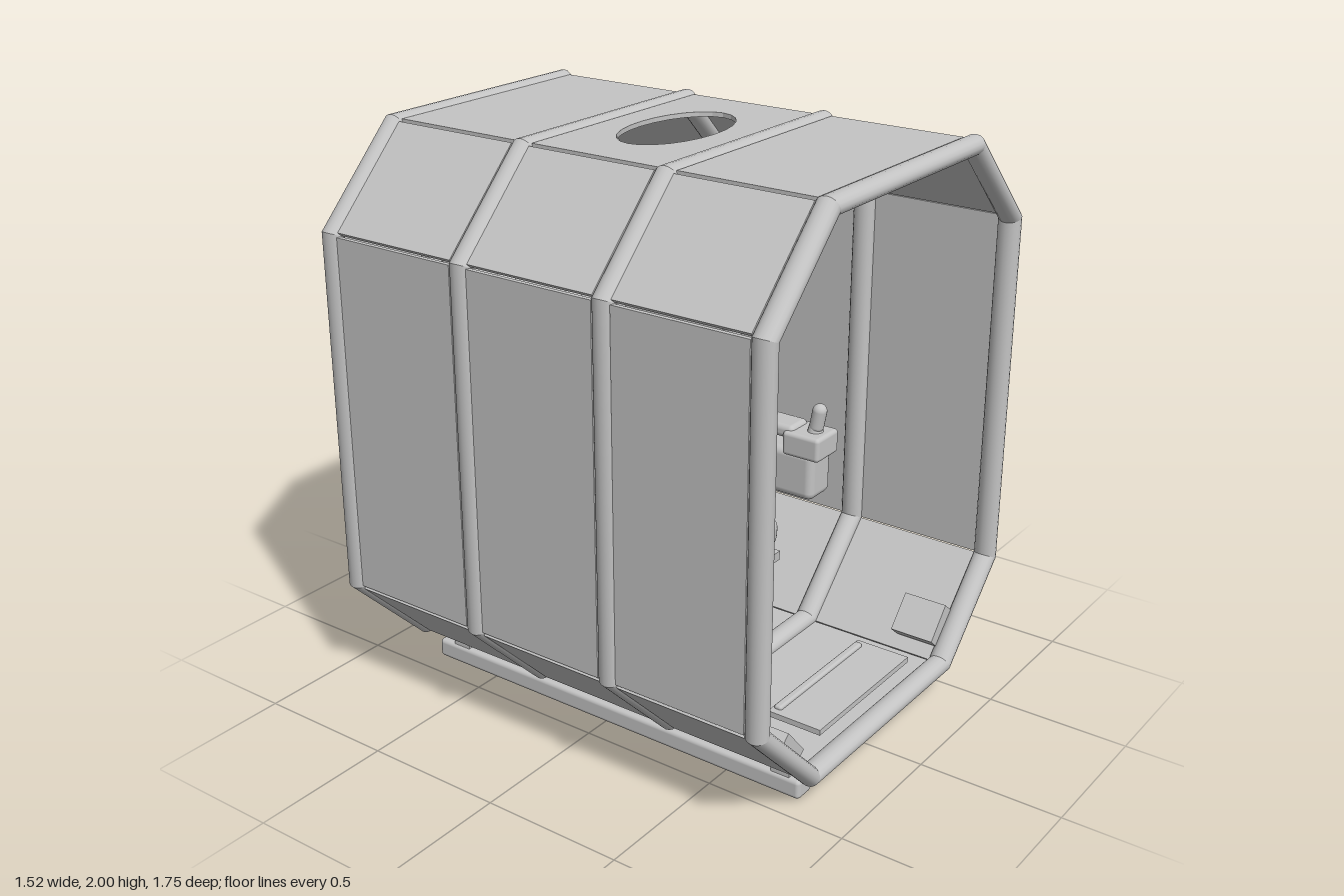
import * as THREE from 'three';
import { mergeGeometries } from 'three/addons/utils/BufferGeometryUtils.js';
import { RoundedBoxGeometry } from 'three/addons/geometries/RoundedBoxGeometry.js';

const paint = new THREE.MeshStandardMaterial({ color: 0xc4c4c4, side: THREE.DoubleSide });
paint.name = 'pale grey';

const ringZ = [-0.82, -0.27, 0.28, 0.83];
const V = (p) => new THREE.Vector3(...p);

// Octagonal cabin section, clockwise from the front, moved inwards by d
function octagon(d) {
  const k = d * Math.tan(Math.PI / 8);
  const right = [[0.44 - k, 2 - d], [0.76 - d, 1.68 - k], [0.76 - d, 0.41 + k], [0.44 - k, 0.09 + d]];
  return [...right, ...right.map(([x, y]) => [-x, y]).reverse()];
}

// Padded tube frame with mitred corners
function ringGeometry() {
  const n = 16, sections = [];
  for (let j = 0; j < n; j++) {
    const a = (j / n) * Math.PI * 2;
    const z = 0.04 * Math.sin(a);
    sections.push(octagon(0.032 - 0.032 * Math.cos(a)).map(([x, y]) => [x, y, z]));
  }
  const edges = [];
  for (let e = 0; e < 8; e++) {
    const pos = [], index = [];
    for (let j = 0; j < n; j++) {
      pos.push(...sections[j][e], ...sections[j][(e + 1) % 8]);
      const a = 2 * j, b = 2 * ((j + 1) % n);
      index.push(a, b, a + 1, b, b + 1, a + 1);
    }
    const g = new THREE.BufferGeometry();
    g.setAttribute('position', new THREE.Float32BufferAttribute(pos, 3));
    g.setIndex(index);
    g.computeVertexNormals();
    edges.push(g);
  }
  return mergeGeometries(edges);
}

// Curved slab: [z, y] path thickened by t and extruded across x
function slabGeometry(path, t, width) {
  const curve = new THREE.SplineCurve(path.map((p) => new THREE.Vector2(...p)));
  const front = [], back = [];
  for (let i = 0; i <= 24; i++) {
    const p = curve.getPoint(i / 24), d = curve.getTangent(i / 24);
    front.push(new THREE.Vector2(p.x + d.y * t / 2, p.y - d.x * t / 2));
    back.unshift(new THREE.Vector2(p.x - d.y * t / 2, p.y + d.x * t / 2));
  }
  const g = new THREE.ExtrudeGeometry(new THREE.Shape([...front, ...back]), { depth: width, bevelEnabled: false });
  return g.translate(0, 0, -width / 2).rotateY(-Math.PI / 2);
}

// Flat webbing along a path, spread along the vector across
function strapGeometry(path, across) {
  const pts = new THREE.CatmullRomCurve3(path.map(V)).getPoints(20);
  const pos = [], index = [], w = V(across).multiplyScalar(0.5);
  pts.forEach((p, i) => {
    pos.push(p.x - w.x, p.y - w.y, p.z - w.z, p.x + w.x, p.y + w.y, p.z + w.z);
    if (i) index.push(2 * i - 2, 2 * i - 1, 2 * i, 2 * i - 1, 2 * i + 1, 2 * i);
  });
  const g = new THREE.BufferGeometry();
  g.setAttribute('position', new THREE.Float32BufferAttribute(pos, 3));
  g.setIndex(index);
  g.computeVertexNormals();
  return g;
}

// Round-ended bar between two points
function capsuleGeometry(a, b, r) {
  const p = V(a), d = V(b).sub(p), len = d.length();
  const g = new THREE.CapsuleGeometry(r, Math.max(len - 2 * r, 0.001), 8, 18);
  g.applyQuaternion(new THREE.Quaternion().setFromUnitVectors(new THREE.Vector3(0, 1, 0), d.normalize()));
  const c = p.add(V(b)).multiplyScalar(0.5);
  return g.translate(c.x, c.y, c.z);
}

export function createModel() {
  const model = new THREE.Group();
  model.name = 'cabin';
  const add = (name, geometry, position = [0, 0, 0], rotation = [0, 0, 0]) => {
    const mesh = new THREE.Mesh(geometry, paint);
    mesh.name = name;
    mesh.position.set(...position);
    mesh.rotation.set(...rotation);
    model.add(mesh);
    return mesh;
  };
  const box = (w, h, d) => new THREE.BoxGeometry(w, h, d);
  const soft = (w, h, d, r) => new RoundedBoxGeometry(w, h, d, 3, r);

  // Frames
  const ring = ringGeometry();
  ringZ.forEach((z) => add('frameRing', ring, [0, 0, z]));

  // Wall panels between the frames, with an oval hatch in the middle of the roof
  const corners = octagon(0.02);
  for (let bay = 0; bay < 3; bay++) {
    const z = (ringZ[bay] + ringZ[bay + 1]) / 2;
    corners.forEach(([x0, y0], e) => {
      const [x1, y1] = corners[(e + 1) % 8];
      const length = Math.hypot(x1 - x0, y1 - y0) - 0.01;
      if (e === 7 && bay === 1) {
        const roof = new THREE.Shape([[-1, -1], [1, -1], [1, 1], [-1, 1]]
          .map(([a, b]) => new THREE.Vector2(a * length / 2, b * 0.24)));
        roof.holes.push(new THREE.Path().absellipse(0, 0, 0.255, 0.145, 0, Math.PI * 2, true));
        const g = new THREE.ExtrudeGeometry(roof, { depth: 0.016, bevelEnabled: false, curveSegments: 12 });
        add('hatchPanel', g.rotateX(-Math.PI / 2), [0, y0 - 0.008, z]);
      } else {
        add('wallPanel', box(length, 0.016, 0.48), [(x0 + x1) / 2, (y0 + y1) / 2, z],
          [0, 0, Math.atan2(y1 - y0, x1 - x0)]);
      }
    });
  }

  // Rear wall
  const rear = new THREE.Shape(octagon(0.03).map((p) => new THREE.Vector2(...p)));
  add('rearWall', new THREE.ExtrudeGeometry(rear, { depth: 0.02, bevelEnabled: false }), [0, 0, -0.835]);

  // Seat
  add('seatShell', slabGeometry([[0.21, 0.39], [-0.1, 0.4], [-0.32, 0.43], [-0.45, 0.58], [-0.63, 1.0],
    [-0.77, 1.4], [-0.858, 1.728]], 0.036, 0.69));
  add('seatPan', soft(0.67, 0.08, 0.52, 0.02), [0, 0.37, -0.08]);
  add('seatCushion', soft(0.62, 0.12, 0.58, 0.045), [0, 0.53, -0.05], [0.07, 0, 0]);
  add('backCushion', slabGeometry([[-0.37, 0.54], [-0.56, 1.0], [-0.73, 1.49]], 0.08, 0.62));
  add('headrest', soft(0.34, 0.2, 0.1, 0.012), [0, 1.64, -0.73], [-0.38, 0, 0]);
  add('seatPedestal', new THREE.CylinderGeometry(0.085, 0.1, 0.2, 24), [0, 0.27, -0.03]);
  add('pedestalBase', new THREE.CylinderGeometry(0.18, 0.2, 0.04, 24), [0, 0.16, -0.03]);
  add('beltBuckle', soft(0.13, 0.045, 0.05, 0.015), [0, 0.605, -0.015]);

  // Floor tray for the feet
  add('footTray', box(0.57, 0.02, 0.2), [0, 0.185, 0.68]);
  add('footBar', soft(0.52, 0.025, 0.03, 0.01), [0, 0.195, 0.6]);

  // Mirrored parts
  for (const s of [-1, 1]) {
    add('backBolster', capsuleGeometry([s * 0.335, 0.56, -0.31], [s * 0.345, 1.44, -0.7], 0.052));
    add('seatBolster', capsuleGeometry([s * 0.36, 0.55, -0.36], [s * 0.34, 0.62, 0.13], 0.05));
    add('bolsterBracket', box(0.06, 0.12, 0.34), [s * 0.36, 0.53, -0.1], [0, 0, s * 0.25]);
    add('shoulderStrap', strapGeometry([[s * 0.125, 1.48, -0.71], [s * 0.125, 1.37, -0.6],
      [s * 0.12, 1.1, -0.4], [s * 0.1, 0.85, -0.22], [s * 0.03, 0.61, -0.02]], [0.065, 0, 0]));
    add('lapStrap', strapGeometry([[s * 0.06, 0.605, -0.02], [s * 0.18, 0.63, -0.13],
      [s * 0.29, 0.56, -0.3]], [s * 0.02, 0.045, 0.02]));

    // Armrest with control stick
    add('armrest', soft(0.11, 0.05, 0.56, 0.02), [s * 0.415, 0.865, -0.04]);
    add('controlPod', soft(0.14, 0.09, 0.15, 0.015), [s * 0.415, 0.83, 0.28]);
    add('stickBase', new THREE.CylinderGeometry(0.022, 0.03, 0.03, 16), [s * 0.415, 0.885, 0.3]);
    add('controlStick', capsuleGeometry([s * 0.415, 0.87, 0.3], [s * 0.415, 0.98, 0.32], 0.026));
    add('armrestPost', capsuleGeometry([s * 0.415, 0.54, -0.18], [s * 0.415, 0.87, -0.18], 0.026));
    add('armrestBrace', box(0.1, 0.03, 0.06), [s * 0.37, 0.56, -0.18]);

    // Wall boxes and side steps
    add('wallBox', soft(0.14, 0.19, 0.43, 0.03), [s * 0.64, 0.6, -0.02]);
    add('sideStep', box(0.14, 0.055, 0.16), [s * 0.48, 0.235, 0.72], [0, 0, s * 0.85]);

    // Skids
    add('skid', soft(0.08, 0.07, 1.55, 0.015), [s * 0.375, 0.035, 0.012]);
    for (const z of [0.71, -0.66]) add('skidPost', box(0.065, 0.05, 0.07), [s * 0.375, 0.085, z]);
  }

  // Small framed display on one wall
  add('displayFrame', box(0.02, 0.22, 0.2), [-0.72, 1.19, -0.1]);
  add('displayScreen', new THREE.ConeGeometry(0.1, 0.015, 4, 1).rotateY(Math.PI / 4).rotateZ(-Math.PI / 2),
    [-0.703, 1.19, -0.1]);

  return model;
}
